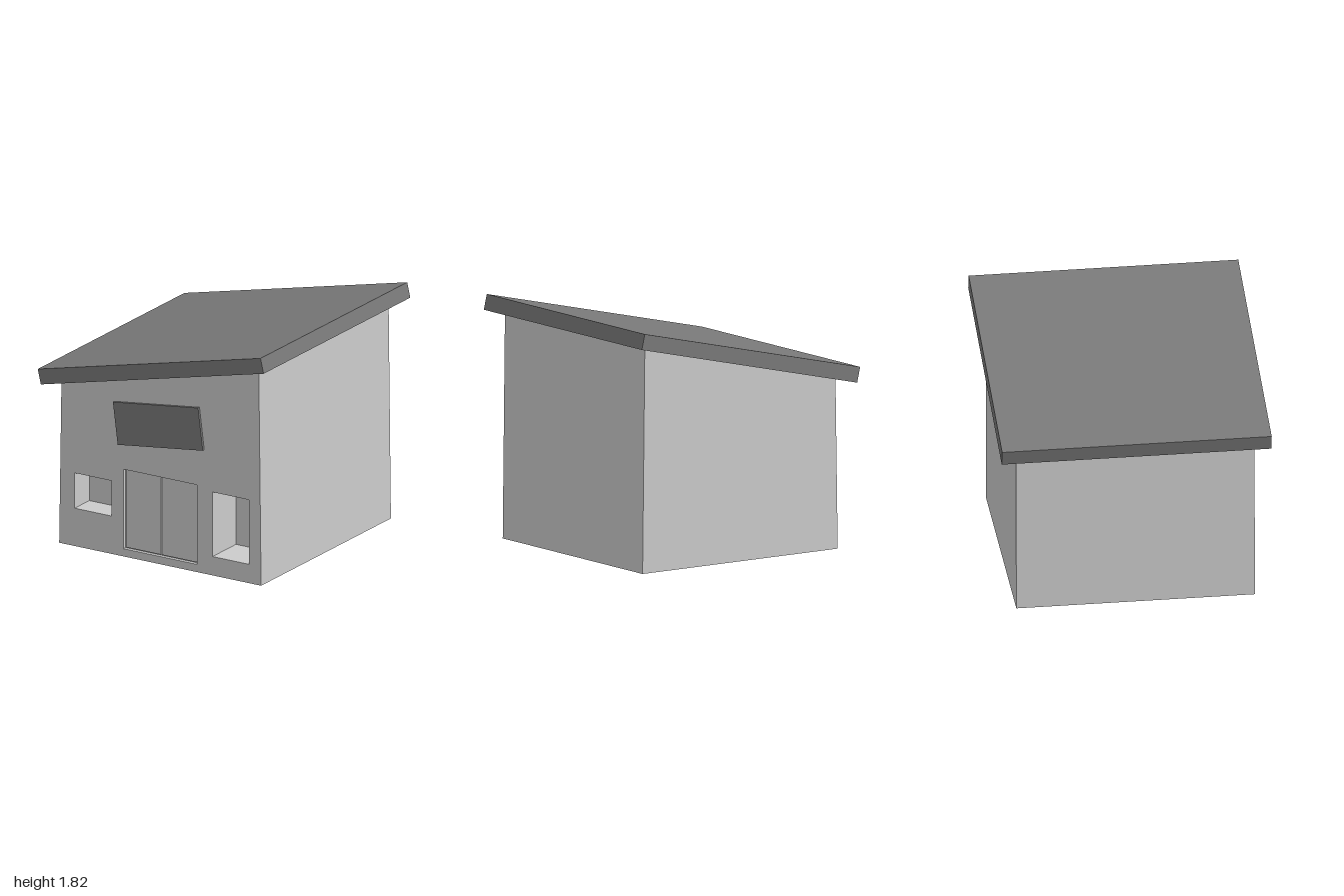
import * as THREE from 'three';

const FRONT = 0.89, BACK = -0.88;
const wallMat = new THREE.MeshStandardMaterial({ color: 0xcccccc });
const darkMat = new THREE.MeshStandardMaterial({ color: 0x797979 });

// counter-clockwise rectangle
const rect = (x0, y0, x1, y1) => [[x0, y0], [x1, y0], [x1, y1], [x0, y1]];
const toVectors = (pts) => pts.map(([x, y]) => new THREE.Vector2(x, y));

// flat panel facing +z, optionally with openings
function panel(pts, z, holes = []) {
  const shape = new THREE.Shape(toVectors(pts));
  holes.forEach((h) => shape.holes.push(new THREE.Path(toVectors(h))));
  return new THREE.ShapeGeometry(shape).translate(0, 0, z);
}

// band of walls along an outline from z0 (far) to z1 (near); inward turns it inside out
function band(pts, z0, z1, inward = false) {
  const pos = [];
  const loop = inward ? [...pts].reverse() : pts;
  loop.forEach(([ax, ay], i) => {
    const [bx, by] = loop[(i + 1) % loop.length];
    pos.push(ax, ay, z1, ax, ay, z0, bx, by, z0, ax, ay, z1, bx, by, z0, bx, by, z1);
  });
  const geo = new THREE.BufferGeometry();
  geo.setAttribute('position', new THREE.Float32BufferAttribute(pos, 3));
  geo.computeVertexNormals();
  return geo;
}

export function createModel() {
  const model = new THREE.Group();
  const add = (name, geo, mat = wallMat, parent = model) => {
    const mesh = new THREE.Mesh(geo, mat);
    mesh.name = name;
    parent.add(mesh);
    return mesh;
  };

  // slightly tapered body with a sloping top
  const outline = [[-0.87, 0], [0.895, 0], [0.875, 1.675], [-0.85, 1.277]];
  const recesses = [
    { name: 'rightWindow', pts: rect(-0.735, 0.295, -0.415, 0.57), depth: 0.2 },
    { name: 'leftWindow', pts: rect(0.47, 0.147, 0.79, 0.65), depth: 0.32 },
    { name: 'doorway', pts: rect(-0.31, 0.06, 0.333, 0.68), depth: 0.03 },
  ];
  add('frontWall', panel(outline, FRONT, recesses.map((r) => r.pts)));
  add('outerWalls', band(outline, BACK, FRONT));
  const mirrored = outline.map(([x, y]) => [-x, y]).reverse();
  add('backWall', panel(mirrored, -BACK).rotateY(Math.PI));

  // window and door recesses
  for (const { name, pts, depth } of recesses) {
    const group = new THREE.Group();
    group.name = name;
    add(name + 'Reveal', band(pts, FRONT - depth, FRONT, true), wallMat, group);
    add(name + 'Back', panel(pts, FRONT - depth), wallMat, group);
    model.add(group);
  }

  // pair of door leaves
  for (const [name, x] of [['rightDoor', -0.146], ['leftDoor', 0.169]]) {
    add(name, new THREE.BoxGeometry(0.308, 0.604, 0.01)).position.set(x, 0.37, FRONT - 0.025);
  }

  // tilted board above the door
  const board = add('board', new THREE.BoxGeometry(0.75, 0.328, 0.04), darkMat);
  board.position.set(0.005, 1.08, FRONT);
  board.rotation.z = 0.127;

  // overhanging sloped roof
  const roof = add('roof', new THREE.BoxGeometry(2.0, 0.118, 2), darkMat);
  roof.position.set(0, 1.535, 0);
  roof.rotation.z = 0.229;

  return model;
}
